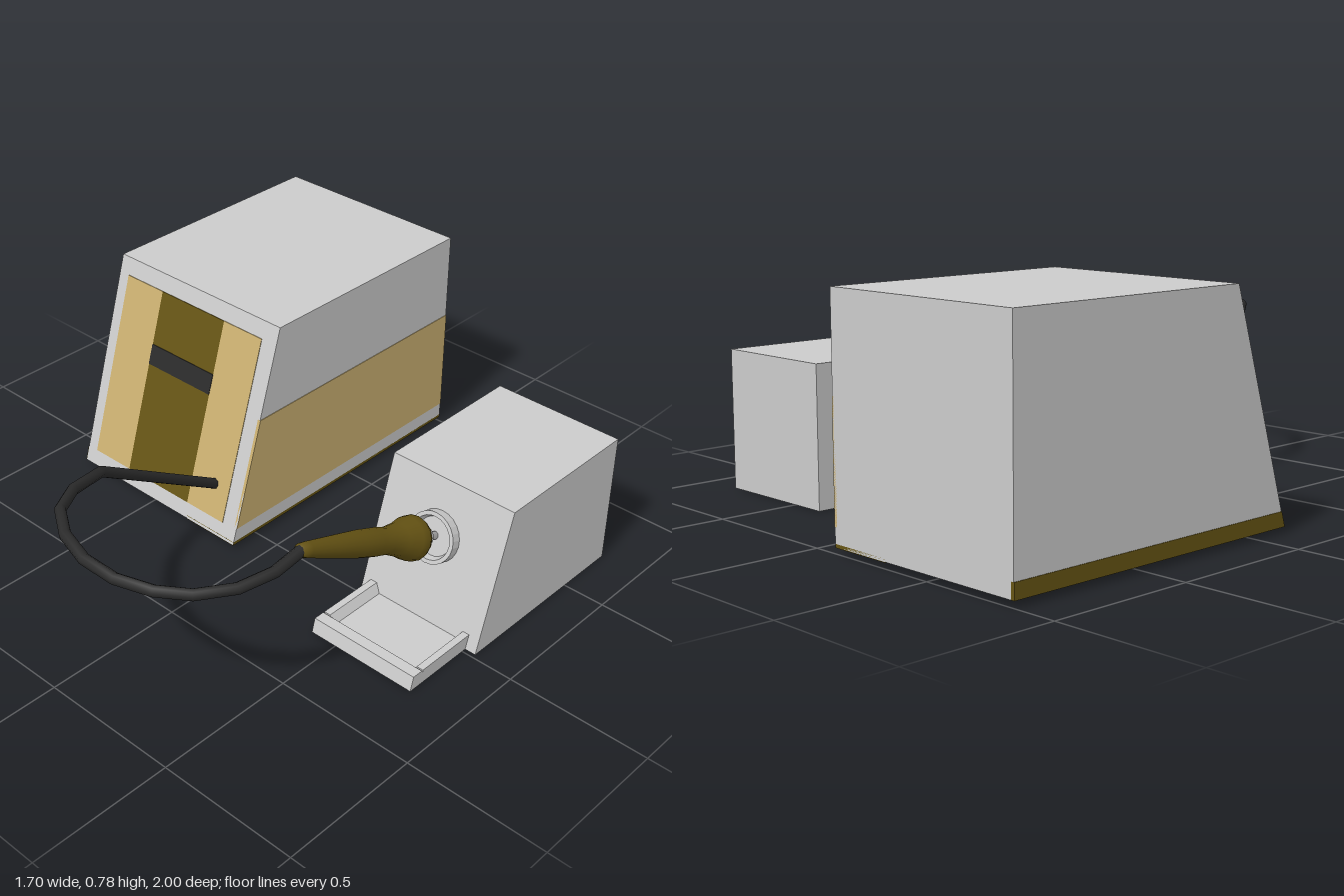
import * as THREE from 'three';

const mat = (color, extra = {}) => new THREE.MeshStandardMaterial({ color, ...extra });
const grey = mat(0xcccccc);
const tan = mat(0xcbb071);
const brown = mat(0x665414);
const black = mat(0x2b2b2b);

function add(parent, name, geometry, material) {
  const mesh = new THREE.Mesh(geometry, material);
  mesh.name = name;
  parent.add(mesh);
  return mesh;
}

const polygon = (points) => new THREE.Shape(points.map(([a, b]) => new THREE.Vector2(a, b)));

// Side profile of [z, y] corners, extruded from x0 to x1
function prism(x0, x1, profile) {
  return new THREE.ExtrudeGeometry(polygon(profile), { depth: x1 - x0, bevelEnabled: false })
    .rotateY(-Math.PI / 2).translate(x1, 0, 0);
}

const lathe = (points, sides) =>
  new THREE.LatheGeometry(points.map(([r, y]) => new THREE.Vector2(r, y)), sides);

// Power unit with sloped front and coloured panels
function createPowerUnit() {
  const unit = new THREE.Group();
  unit.name = 'powerUnit';
  const x0 = -0.85, x1 = -0.09, y0 = 0.02, y1 = 0.78;
  const front = (y) => 0.125 - 0.235 * (y - y0) / (y1 - y0);
  const side = (a, b) => [[-1, a], [front(a), a], [front(b), b], [-1, b]];
  const slab = (a, b, lift) => [
    [front(a) - 0.01, a], [front(a) + lift, a], [front(b) + lift, b], [front(b) - 0.01, b],
  ];
  add(unit, 'unitBody', prism(x0, x1, side(y0, y1)), grey);

  add(unit, 'frontPanelRight', prism(-0.805, -0.63, slab(0.075, 0.72, 0.002)), tan);
  add(unit, 'frontPanelLeft', prism(-0.33, -0.155, slab(0.075, 0.72, 0.002)), tan);
  add(unit, 'frontPanelCentre', prism(-0.63, -0.33, slab(0.075, 0.72, 0.002)), brown);
  add(unit, 'displayStrip', prism(-0.63, -0.33, slab(0.465, 0.535, 0.004)), black);

  add(unit, 'leftSideBand', prism(x1 - 0.01, x1 + 0.002, side(0.08, 0.465)), tan);
  add(unit, 'rightSideBand', prism(x0 - 0.002, x0 + 0.01, side(y0, 0.07)), brown);
  add(unit, 'undersideBand', prism(-0.32, x1, [[-1, 0.018], [0.125, 0.018], [0.122, 0.03], [-1, 0.03]]), brown);
  return unit;
}

// Stand with a sloped front and a shallow tray
function createStand() {
  const stand = new THREE.Group();
  stand.name = 'ironStand';
  add(stand, 'standBody', prism(0.37, 0.85, [[-0.72, 0], [-0.015, 0], [-0.16, 0.48], [-0.72, 0.48]]), grey);

  const channel = polygon([
    [0.4, 0], [0.81, 0], [0.81, 0.05], [0.785, 0.05],
    [0.765, 0.02], [0.445, 0.02], [0.425, 0.05], [0.4, 0.05],
  ]);
  add(stand, 'tray', new THREE.ExtrudeGeometry(channel, { depth: 0.25, bevelEnabled: false })
    .translate(0, 0, -0.05), grey);
  add(stand, 'trayFrontRim', prism(0.4, 0.81, [[0.185, 0], [0.258, 0], [0.245, 0.05], [0.205, 0.05], [0.185, 0.02]]), grey);

  // Holder ring square to the sloped face
  const ring = add(stand, 'holderRing', lathe(
    [[0.088, -0.005], [0.088, 0.035], [0.074, 0.035], [0.066, 0.012], [0, 0.012]], 24),
    mat(0xcccccc, { flatShading: true, side: THREE.DoubleSide }));
  ring.position.set(0.602, 0.295, -0.105);
  ring.rotation.x = Math.atan2(0.48, 0.145);
  return stand;
}

// Hand iron: metal tip below the origin, handle above it, tilted as one
function createIron() {
  const iron = new THREE.Group();
  iron.name = 'handIron';
  add(iron, 'handle', lathe([
    [0, 0], [0.066, 0], [0.074, 0.018], [0.07, 0.05], [0.054, 0.1], [0.043, 0.16],
    [0.045, 0.22], [0.043, 0.31], [0.034, 0.43], [0.025, 0.55], [0.021, 0.585], [0, 0.592],
  ], 16), brown);
  add(iron, 'metalTip', lathe([
    [0, -0.115], [0.014, -0.112], [0.017, -0.07], [0.033, -0.058], [0.036, -0.035], [0.028, 0.01],
  ], 16), grey);
  iron.position.set(0.602, 0.35, 0.01);
  iron.rotation.x = Math.atan2(0.53, 0.245);
  return iron;
}

// Cable as straight segments between the given points
function createCable() {
  const points = [
    [-0.227, 0.185, 0.07], [-0.2, 0.51, 0.59], [-0.145, 0.55, 0.75], [-0.06, 0.58, 0.87],
    [0.045, 0.58, 0.94], [0.17, 0.579, 0.977], [0.3, 0.579, 0.977], [0.42, 0.58, 0.94],
    [0.51, 0.578, 0.875], [0.58, 0.578, 0.77], [0.608, 0.583, 0.65], [0.602, 0.592, 0.53],
  ].map((p) => new THREE.Vector3(...p));
  const last = points.length - 1;
  const path = new THREE.Curve();
  path.getPoint = (t) => {
    const i = Math.min(Math.floor(t * last), last - 1);
    return points[i].clone().lerp(points[i + 1], t * last - i);
  };
  path.getPointAt = path.getPoint;
  path.getTangentAt = path.getTangent;

  const cable = new THREE.Group();
  cable.name = 'cable';
  add(cable, 'cableTube', new THREE.TubeGeometry(path, last, 0.019, 8),
    mat(0x2b2b2b, { side: THREE.DoubleSide }));
  add(cable, 'cableEnd', new THREE.SphereGeometry(0.019, 8, 6), black).position.copy(points[0]);
  return cable;
}

export function createModel() {
  const model = new THREE.Group();
  model.name = 'solderingStation';
  model.add(createPowerUnit(), createStand(), createIron(), createCable());
  return model;
}
